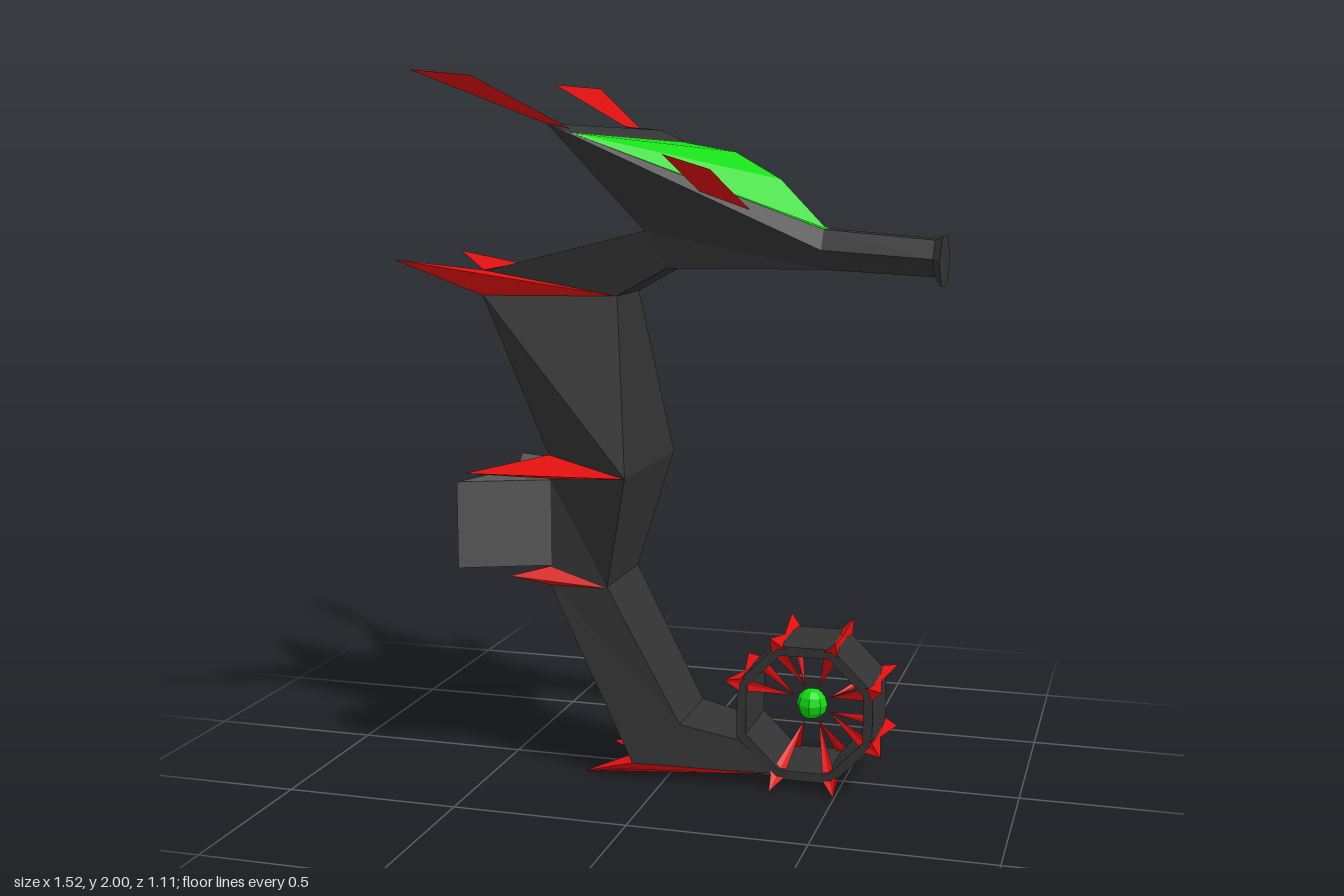
import * as THREE from 'three';

const mat = (color) => new THREE.MeshStandardMaterial({ color, flatShading: true, side: THREE.DoubleSide });
const BLACK = mat(0x333333), GREY = mat(0x555555), RED = mat(0xe01010), GREEN = mat(0x10dd10);
const flip = ([x, y, z]) => [x, y, -z];

// Flat polygons, fanned into triangles
function polyMesh(name, polys, material) {
  const pos = [];
  for (const p of polys)
    for (let i = 1; i < p.length - 1; i++) pos.push(...p[0], ...p[i], ...p[i + 1]);
  const g = new THREE.BufferGeometry();
  g.setAttribute('position', new THREE.Float32BufferAttribute(pos, 3));
  g.computeVertexNormals();
  const m = new THREE.Mesh(g, material);
  m.name = name;
  return m;
}

// Adds the z-mirrored twin of every polygon
const mirrored = (polys) => [...polys, ...polys.map((p) => p.map(flip).reverse())];

// Skin between successive corner loops, with end caps
function loft(loops) {
  const polys = [[...loops[0]].reverse(), loops[loops.length - 1]];
  for (let i = 0; i < loops.length - 1; i++)
    loops[i].forEach((p, j) => {
      const k = (j + 1) % loops[i].length;
      polys.push([p, loops[i][k], loops[i + 1][k], loops[i + 1][j]]);
    });
  return polys;
}

// Two-pointed spine collar: front corner, upper and lower root, tip, centre notch
function collar(name, front, upper, lower, tip, notch) {
  return polyMesh(name, mirrored([
    [front, tip, upper], [front, lower, tip],
    [upper, tip, notch], [lower, notch, tip],
    [upper, notch, flip(upper)], [lower, flip(lower), notch],
  ]), RED);
}

export function createModel() {
  const model = new THREE.Group();

  // Body and tail: back x, y, half width, then front x, y, half width
  const sections = [
    [-0.05, 1.575, 0.15, 0, 1.47, 0.1],
    [-0.53, 1.455, 0.155, -0.145, 1.39, 0.105],
    [-0.53, 1.39, 0.155, -0.145, 1.39, 0.105],
    [-0.335, 0.935, 0.155, -0.08, 0.895, 0.248],
    [-0.335, 0.87, 0.155, -0.08, 0.895, 0.248],
    [-0.335, 0.61, 0.155, -0.165, 0.56, 0.15],
    [-0.335, 0.56, 0.155, -0.165, 0.56, 0.15],
    [-0.09, 0.04, 0.15, 0.045, 0.165, 0.13],
    [0.32, 0.04, 0.115, 0.215, 0.13, 0.115],
  ];
  model.add(polyMesh('body', loft(sections.map(([bx, by, bz, fx, fy, fz]) =>
    [[bx, by, bz], [fx, fy, fz], [fx, fy, -fz], [bx, by, -bz]])), BLACK));

  // Spine collars down the back
  model.add(
    collar('neckSpines', [-0.145, 1.39, 0.11], [-0.53, 1.46, 0.157], [-0.53, 1.388, 0.157],
      [-0.76, 1.49, 0.245], [-0.56, 1.425, 0]),
    collar('backSpines', [-0.08, 0.895, 0.25], [-0.335, 0.937, 0.157], [-0.335, 0.868, 0.157],
      [-0.53, 0.9, 0.31], [-0.36, 0.9, 0]),
    collar('hipSpines', [-0.165, 0.557, 0.153], [-0.335, 0.612, 0.157], [-0.335, 0.558, 0.157],
      [-0.445, 0.585, 0.195], [-0.36, 0.585, 0]),
    collar('tailSpines', [0.32, 0.038, 0.115], [-0.09, 0.045, 0.153], [-0.08, 0.027, 0.15],
      [-0.24, 0.003, 0.14], [-0.12, 0.025, 0]),
  );

  // Forked dorsal fin
  const finLoop = (y) => [[-0.32, y, 0.15], [-0.32, y, -0.15], [-0.575, y, -0.26],
    [-0.49, y, 0], [-0.575, y, 0.26]];
  const finTop = finLoop(0.865), finLow = finLoop(0.615);
  const finFaces = finTop.map((p, i) => [p, finTop[(i + 1) % 5], finLow[(i + 1) % 5], finLow[i]]);
  for (const l of [finTop, finLow]) finFaces.push([l[3], l[4], l[0], l[1], l[2]]);
  model.add(polyMesh('dorsalFin', finFaces, GREY));

  // Head
  const horn = [-0.26, 1.865, 0.35], corner = [-0.2, 1.84, 0.325];
  const nape = [-0.045, 1.85, 0], notch = [0.03, 1.815, 0];
  const neck = [-0.05, 1.575, 0.15], jaw = [0, 1.47, 0.1];
  const browTip = [0.43, 1.58, 0.04], cheek = [0.43, 1.525, 0.08], chin = [0.43, 1.47, 0.04];
  model.add(polyMesh('head', mirrored([
    [horn, neck, cheek], [horn, cheek, browTip, corner], [horn, corner, notch, nape],
    [horn, nape, neck], [nape, flip(neck), neck],
    [neck, jaw, chin], [neck, chin, cheek], [jaw, flip(jaw), flip(chin), chin],
  ]), BLACK));

  // Green brow with a centre ridge
  const ridge = [notch, [0.17, 1.79, 0], [0.3, 1.715, 0], [0.43, 1.58, 0], browTip];
  model.add(polyMesh('brow', mirrored(ridge.slice(1).map((p, i) => [corner, p, ridge[i]])), GREEN));

  // Six-sided snout with a flared end
  const hex = (x, y, h, w) => [[x, y + h, w / 2], [x, y, w], [x, y - h, w / 2],
    [x, y - h, -w / 2], [x, y, -w], [x, y + h, -w / 2]];
  model.add(polyMesh('snout', loft([hex(0.43, 1.525, 0.055, 0.08), hex(0.735, 1.505, 0.05, 0.08),
    hex(0.757, 1.498, 0.068, 0.113)]), BLACK));

  // Horn blades and cheek fins
  model.add(polyMesh('hornBlades', mirrored([
    [[-0.56, 2, 0.555], [-0.4, 1.985, 0.53], [-0.2, 1.85, 0.33], [-0.27, 1.868, 0.355]]]), RED));
  model.add(polyMesh('cheekFins', mirrored([
    [[0.05, 1.785, 0.325], [0.17, 1.745, 0.28], [0.245, 1.635, 0.14], [0.12, 1.685, 0.2]]]), RED));

  // Curled tail: octagonal band, spines and hub
  const curl = new THREE.Group();
  curl.name = 'tailCurl';
  curl.position.set(0.405, 0.22, 0);
  const polar = (r, a, z) => [r * Math.cos(a), r * Math.sin(a), z];
  const octagon = (r) => Array.from({ length: 8 }, (_, i) =>
    new THREE.Vector2(...polar(r, (i + 0.5) * Math.PI / 4, 0).slice(0, 2)));
  const shape = new THREE.Shape(octagon(0.211));
  shape.holes.push(new THREE.Path(octagon(0.182)));
  const band = new THREE.Mesh(
    new THREE.ExtrudeGeometry(shape, { depth: 0.23, bevelEnabled: false }).translate(0, 0, -0.115), BLACK);
  band.name = 'tailBand';
  curl.add(band);
  for (let i = 0; i < 8; i++) {
    if (i === 4) continue; // the tail joins here
    const a = (i + 0.5) * Math.PI / 4;
    curl.add(collar('curlSpine', polar(0.055, a, 0), polar(0.198, a + 0.1, 0.117),
      polar(0.198, a - 0.1, 0.117), polar(0.243, a, 0.147), polar(0.216, a, 0)));
  }
  const hub = new THREE.Mesh(new THREE.SphereGeometry(0.045, 8, 6), GREEN);
  hub.name = 'tailHub';
  curl.add(hub);
  model.add(curl);

  return model;
}
